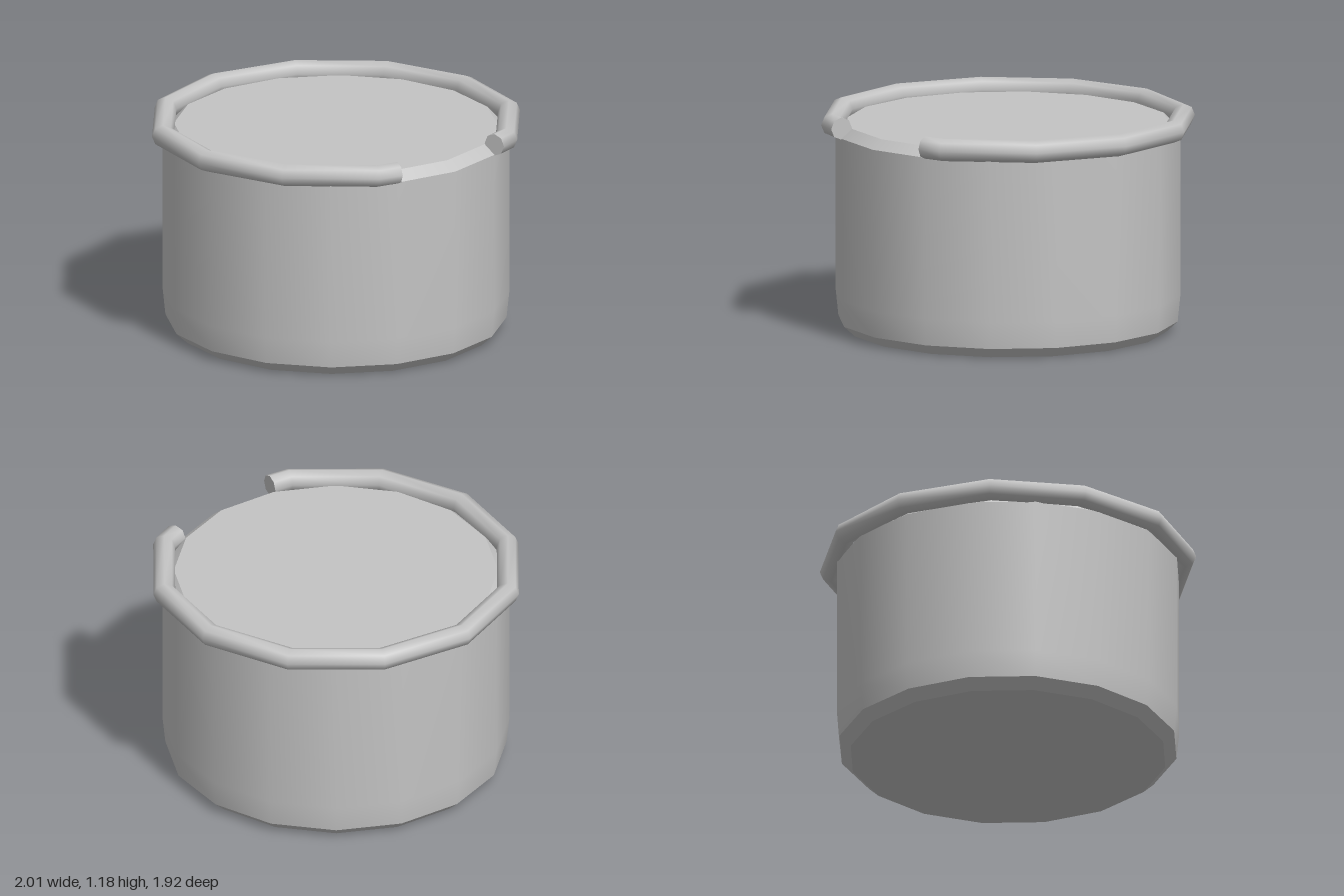
import * as THREE from 'three';

const CENTRE_Z = 0.04;
const RIM_Y = 1.125, RIM_R = 0.943, TUBE_R = 0.06, TUBE_SIDES = 8;

const grey = new THREE.MeshStandardMaterial({ color: 0xc4c4c4 });
grey.name = 'light grey';

function add(group, name, geometry) {
  const mesh = new THREE.Mesh(geometry, grey);
  mesh.name = name;
  group.add(mesh);
  return mesh;
}

// One smooth 16-sided band; separate bands keep the edges between them sharp
function band(points) {
  return new THREE.LatheGeometry(points.map(([r, y]) => new THREE.Vector2(r, y)), 16);
}

const radial = (deg) => {
  const a = THREE.MathUtils.degToRad(deg);
  return new THREE.Vector3(Math.sin(a), 0, Math.cos(a));
};
const corner = (deg) => radial(deg).multiplyScalar(RIM_R).setY(RIM_Y);

// Rim tube: one octagonal section at each corner of a 12-sided loop
function rimGeometry(sections) {
  const positions = [], index = [];
  for (const { centre, out } of sections) {
    for (let k = 0; k < TUBE_SIDES; k++) {
      const t = (k / TUBE_SIDES) * Math.PI * 2;
      const p = centre.clone().addScaledVector(out, Math.cos(t) * TUBE_R);
      positions.push(p.x, p.y + Math.sin(t) * TUBE_R, p.z);
    }
  }
  for (let i = 0; i < sections.length - 1; i++) {
    for (let k = 0; k < TUBE_SIDES; k++) {
      const k2 = (k + 1) % TUBE_SIDES;
      const a = i * TUBE_SIDES + k, b = a + TUBE_SIDES;
      const c = i * TUBE_SIDES + k2, d = c + TUBE_SIDES;
      index.push(a, b, c, b, d, c);
    }
  }
  const g = new THREE.BufferGeometry();
  g.setAttribute('position', new THREE.Float32BufferAttribute(positions, 3));
  g.setIndex(index);
  g.computeVertexNormals();
  return g;
}

export function createModel() {
  const model = new THREE.Group();
  model.name = 'pot';

  // Pot body
  const body = new THREE.Group();
  body.name = 'body';
  add(body, 'base', band([[0, 0], [0.845, 0]]));
  add(body, 'bottomBevel', band([[0.845, 0], [0.905, 0.055]]));
  add(body, 'wall', band([[0.905, 0.055], [0.92, 0.2], [0.92, 1.07]]));
  add(body, 'topBevel', band([[0.92, 1.07], [0.86, 1.12]]));
  add(body, 'lid', band([[0.86, 1.12], [0, 1.12]]));
  model.add(body);

  // Rim with a gap at the front
  const rim = new THREE.Group();
  rim.name = 'rim';
  const start = { centre: corner(30).lerp(corner(0), 0.25), out: radial(15) };
  const end = { centre: corner(330).lerp(corner(360), 0.25), out: radial(345) };
  const sections = [start];
  for (let deg = 30; deg <= 330; deg += 30) sections.push({ centre: corner(deg), out: radial(deg) });
  sections.push(end);
  add(rim, 'rimTube', rimGeometry(sections));

  // Flat ends of the rim
  for (const [section, turn] of [[start, -75], [end, 75]]) {
    const cap = add(rim, 'rimEnd', new THREE.CircleGeometry(TUBE_R, TUBE_SIDES));
    cap.position.copy(section.centre);
    cap.rotation.y = THREE.MathUtils.degToRad(turn);
  }
  model.add(rim);

  body.position.z = rim.position.z = CENTRE_Z;
  return model;
}
